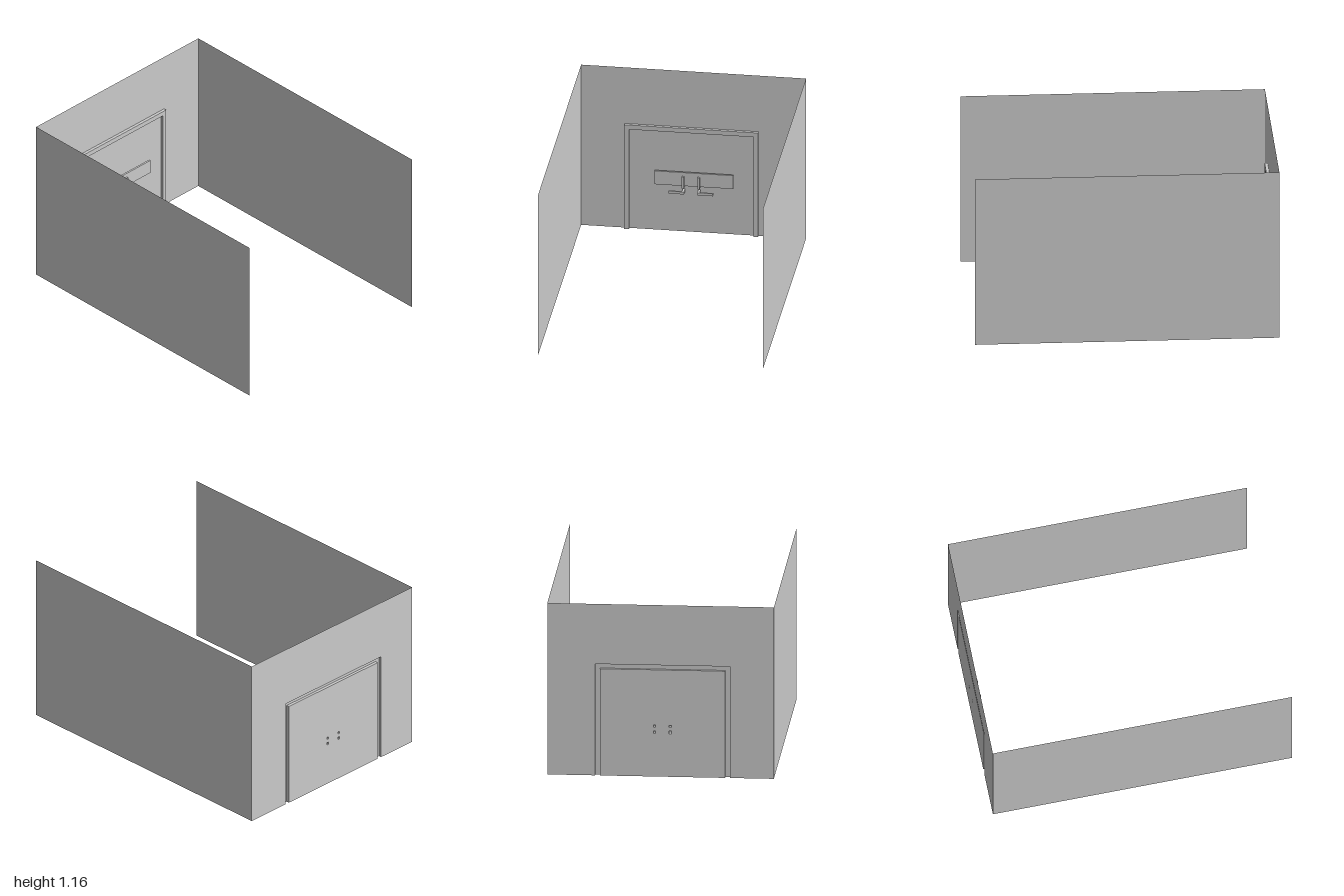
import * as THREE from 'three';

const material = new THREE.MeshStandardMaterial({ color: 0xcccccc, side: THREE.DoubleSide, flatShading: true });
const HALF_DEPTH = 0.745, HEIGHT = 1.165, WALL_X = -1, FRAME_X = -0.98;

// Doorway outlines as [z, y], from one foot of the frame to the other
const OUTER = [[-0.43, 0], [-0.43, 0.757], [0.457, 0.757], [0.457, 0]];
const INNER = [[-0.4, 0], [-0.4, 0.725], [0.425, 0.725], [0.425, 0]];

function addMesh(parent, name, geometry) {
  const mesh = new THREE.Mesh(geometry, material);
  mesh.name = name;
  parent.add(mesh);
  return mesh;
}

// Flat sheet in the end wall plane, drawn in z and y
function endSheet(points, holes = []) {
  const toVectors = (list) => list.map(([z, y]) => new THREE.Vector2(z, y));
  const shape = new THREE.Shape(toVectors(points));
  for (const hole of holes) shape.holes.push(new THREE.Path(toVectors(hole)));
  return new THREE.ShapeGeometry(shape).rotateY(-Math.PI / 2).translate(WALL_X, 0, 0);
}

// Box given by its limits; openBack leaves out the side towards the wall
function block([x0, x1], [y0, y1], [z0, z1], openBack = false) {
  const geometry = new THREE.BoxGeometry(x1 - x0, y1 - y0, z1 - z0);
  geometry.translate((x0 + x1) / 2, (y0 + y1) / 2, (z0 + z1) / 2);
  if (openBack) {
    geometry.setIndex(Array.from(geometry.index.array).filter((_, i) => i < 6 || i > 11));
    geometry.clearGroups();
  }
  return geometry;
}

// Raised hollow door surround: outer side, face and inner side
function frameGeometry() {
  const rows = [[OUTER, WALL_X], [OUTER, FRAME_X], [INNER, FRAME_X], [INNER, WALL_X]];
  const positions = [];
  const put = (r, i) => positions.push(rows[r][1], rows[r][0][i][1], rows[r][0][i][0]);
  for (let r = 0; r < 3; r++) {
    for (let i = 0; i < 3; i++) {
      put(r, i); put(r + 1, i); put(r + 1, i + 1);
      put(r, i); put(r + 1, i + 1); put(r, i + 1);
    }
  }
  const geometry = new THREE.BufferGeometry();
  geometry.setAttribute('position', new THREE.Float32BufferAttribute(positions, 3));
  geometry.computeVertexNormals();
  return geometry;
}

export function createModel() {
  const group = new THREE.Group();
  group.name = 'roomWithDoor';

  // Long side walls
  for (const [name, z] of [['frontWall', HALF_DEPTH], ['backWall', -HALF_DEPTH]]) {
    const wall = addMesh(group, name, new THREE.PlaneGeometry(2, HEIGHT));
    wall.position.set(0, HEIGHT / 2, z);
    if (z < 0) wall.rotation.y = Math.PI;
  }

  // End wall cut around the doorway
  addMesh(group, 'endWall', endSheet([
    [-HALF_DEPTH, 0], ...OUTER, [HALF_DEPTH, 0], [HALF_DEPTH, HEIGHT], [-HALF_DEPTH, HEIGHT],
  ]));
  addMesh(group, 'doorFrame', frameGeometry());

  // Handle shanks pass through small square holes in the door
  const shanks = [];
  for (const z of [[-0.047, -0.032], [0.056, 0.071]]) {
    for (const y of [[0.335, 0.35], [0.292, 0.31]]) shanks.push({ y, z });
  }
  const holes = shanks.map(({ y, z }) => [[z[0], y[0]], [z[0], y[1]], [z[1], y[1]], [z[1], y[0]]]);
  addMesh(group, 'door', endSheet(INNER, holes));
  for (const { y, z } of shanks) addMesh(group, 'handleShank', block([WALL_X, -0.95], y, z, true));

  // Bar across the door
  addMesh(group, 'crossBar', block([-0.973, -0.96], [0.348, 0.445], [-0.268, 0.254]));

  // Upright grips and side levers
  for (const z of [[-0.047, -0.032], [0.056, 0.071]]) {
    addMesh(group, 'uprightGrip', block([-0.957, -0.944], [0.335, 0.42], z));
  }
  for (const z of [[-0.136, -0.032], [0.056, 0.16]]) {
    addMesh(group, 'sideLever', block([-0.959, -0.948], [0.292, 0.31], z));
  }
  return group;
}
